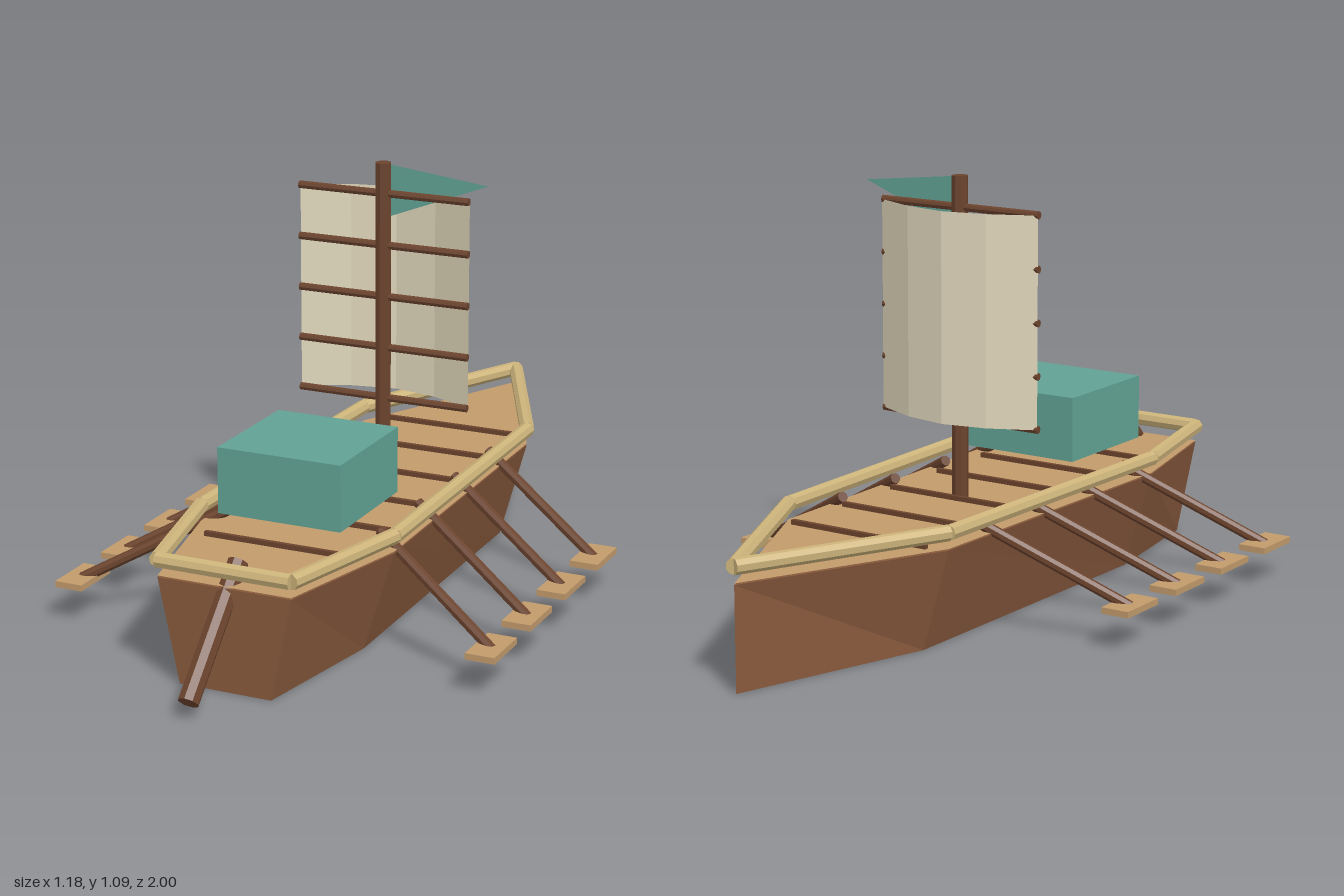
import * as THREE from 'three';

const mat = (name, color) => {
  const m = new THREE.MeshStandardMaterial({ color, flatShading: true });
  m.name = name;
  return m;
};

export function createModel() {
  const ship = new THREE.Group();
  ship.name = 'sailingGalley';

  const hullWood = mat('hullWood', 0x87593c);
  const darkWood = mat('darkWood', 0x6b432d);
  const deckWood = mat('deckWood', 0xc19a6b);
  const railWood = mat('railWood', 0xccb37a);
  const canvas = mat('canvas', 0xe2d9bd);
  canvas.side = THREE.DoubleSide;
  const teal = mat('tealCloth', 0x61a294);
  teal.side = THREE.DoubleSide;

  const add = (name, geo, material, x = 0, y = 0, z = 0) => {
    const mesh = new THREE.Mesh(geo, material);
    mesh.name = name;
    mesh.position.set(x, y, z);
    ship.add(mesh);
    return mesh;
  };

  // Round bar between two points
  const bar = (name, a, b, radius, material, sides = 8) => {
    const from = new THREE.Vector3(...a), to = new THREE.Vector3(...b);
    const dir = to.clone().sub(from);
    const mesh = add(name, new THREE.CylinderGeometry(radius, radius, dir.length(), sides), material);
    mesh.position.copy(from).add(to).multiplyScalar(0.5);
    mesh.quaternion.setFromUnitVectors(new THREE.Vector3(0, 1, 0), dir.normalize());
    return mesh;
  };

  // Plan outline [x, z], bow at -z, counter-clockwise seen from above
  const half = [[0.175, 0.8], [0.262, 0.42], [0.24, -0.48]];
  const outline = [...half, [0, -0.99], ...half.map(([x, z]) => [-x, z]).reverse()];
  const plan = new THREE.Shape(outline.map(([x, z]) => new THREE.Vector2(x, -z)));

  // Hull: extruded plan, narrowed towards the keel
  const hullHeight = 0.26;
  const hull = new THREE.ExtrudeGeometry(plan, { depth: hullHeight, bevelEnabled: false });
  hull.rotateX(-Math.PI / 2);
  const p = hull.attributes.position;
  for (let i = 0; i < p.count; i++) {
    p.setX(i, p.getX(i) * (0.69 + 0.31 * p.getY(i) / hullHeight));
  }
  hull.computeVertexNormals();
  add('hull', hull, hullWood);

  // Deck and its cross seams
  add('deck', new THREE.ShapeGeometry(plan).rotateX(-Math.PI / 2), deckWood, 0, 0.264, 0);
  for (let i = 0; i < 6; i++) {
    add('deckSeam', new THREE.BoxGeometry(0.4, 0.012, 0.012), darkWood, 0, 0.272, -0.515 + i * 0.206);
  }

  // Gunwale rail
  const railY = 0.304;
  outline.forEach(([x, z], i) => {
    const [nx, nz] = outline[(i + 1) % outline.length];
    bar('rail', [x, railY, z], [nx, railY, nz], 0.02, railWood);
  });

  // Cabin
  add('cabin', new THREE.BoxGeometry(0.328, 0.168, 0.328), teal, 0, 0.412, 0.35);

  // Mast and yards
  const mastZ = -0.083;
  bar('mast', [0, 0.262, mastZ], [0, 1.09, mastZ], 0.021, darkWood);
  for (let i = 0; i < 5; i++) {
    const y = 0.475 + i * 0.134;
    bar('yard', [-0.234, y, mastZ], [0.234, y, mastZ], 0.01, darkWood);
  }

  // Sail bulging towards the bow
  const sail = new THREE.PlaneGeometry(0.468, 0.536, 4, 1);
  const s = sail.attributes.position;
  for (let i = 0; i < s.count; i++) {
    s.setZ(i, -0.076 * Math.cos(s.getX(i) / 0.234 * Math.PI / 2));
  }
  sail.computeVertexNormals();
  add('sail', sail, canvas, 0, 0.743, mastZ - 0.005);

  // Pennant
  const pennant = new THREE.Shape([
    new THREE.Vector2(0.015, 0.952), new THREE.Vector2(0.285, 1.056), new THREE.Vector2(0.015, 1.087),
  ]);
  add('pennant', new THREE.ShapeGeometry(pennant), teal, 0, 0, mastZ);

  // Oars with flat blades
  for (const side of [-1, 1]) {
    for (let i = 0; i < 4; i++) {
      const z = -0.165 + i * 0.225;
      bar('oar', [side * 0.2, 0.29, z - 0.145], [side * 0.555, 0.096, z], 0.014, darkWood);
      add('oarBlade', new THREE.BoxGeometry(0.075, 0.016, 0.14), deckWood, side * 0.553, 0.098, z);
    }
  }

  // Steering oar at the stern
  bar('steeringOar', [0, 0.3, 0.725], [0, 0.043, 0.98], 0.026, darkWood);

  return ship;
}
